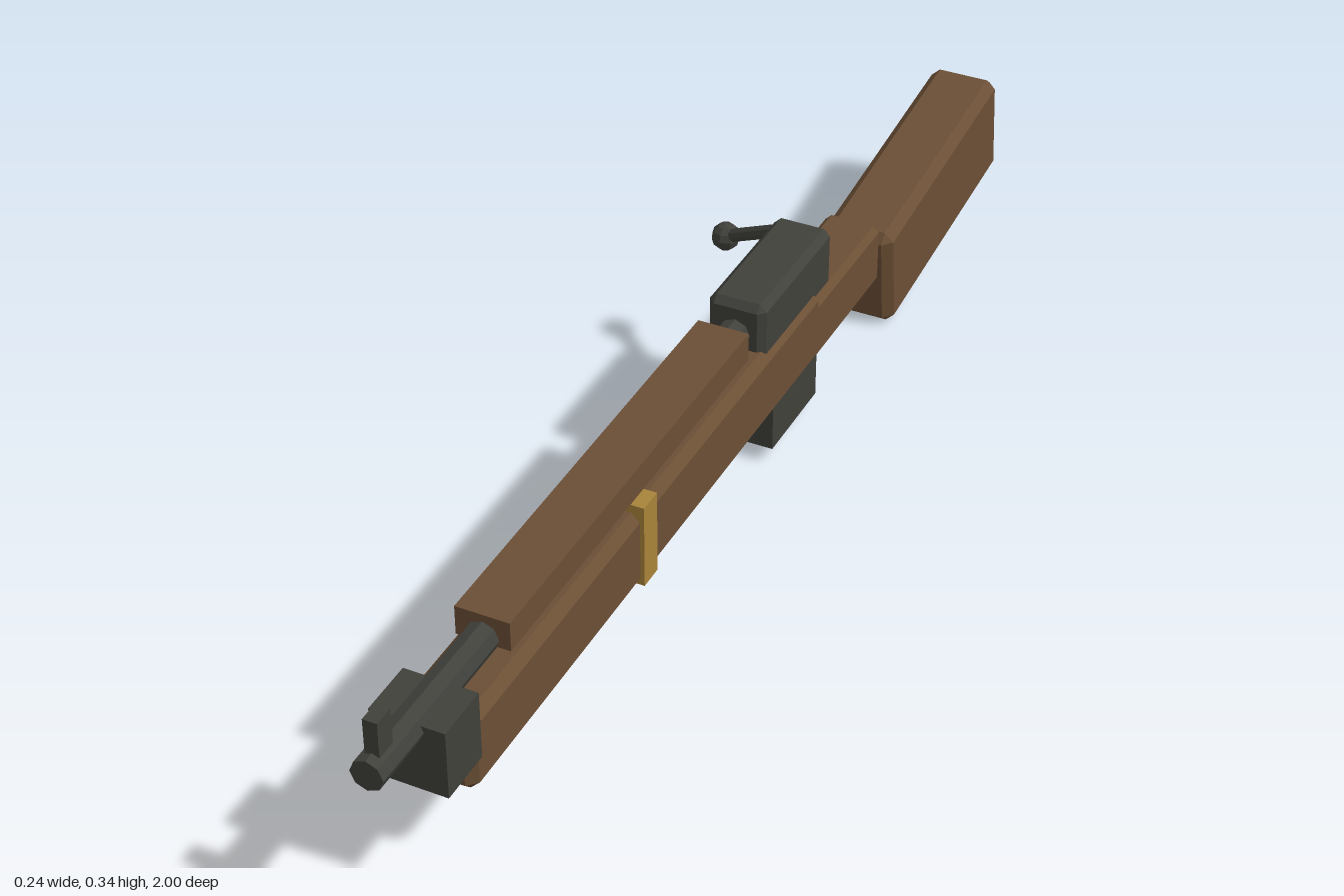
import * as THREE from 'three';
import { ConvexGeometry } from 'three/addons/geometries/ConvexGeometry.js';

const material = (name, color) => {
  const m = new THREE.MeshStandardMaterial({ color, flatShading: true });
  m.name = name;
  return m;
};

// Box with every edge cut flat by c
function chamferBox(w, h, d, c) {
  const half = [w / 2, h / 2, d / 2];
  const points = [];
  for (const sx of [-1, 1]) for (const sy of [-1, 1]) for (const sz of [-1, 1]) {
    for (let axis = 0; axis < 3; axis++) {
      const [x, y, z] = half.map((v, i) => (i === axis ? v : v - c));
      points.push(new THREE.Vector3(sx * x, sy * y, sz * z));
    }
  }
  return new ConvexGeometry(points);
}

export function createModel() {
  const wood = material('brown wood', 0x6b4f35);
  const metal = material('dark metal', 0x40413b);
  const brass = material('brass', 0xa8843a);
  const group = new THREE.Group();
  const cx = 0.055; // centre line of the body

  const add = (name, geometry, mat, x, y, z) => {
    const mesh = new THREE.Mesh(geometry, mat);
    mesh.name = name;
    mesh.position.set(x, y, z);
    group.add(mesh);
    return mesh;
  };
  // Part on the centre line, given by width and its y and z ranges
  const block = (name, mat, w, y0, y1, z0, z1, c = 0) => {
    const size = [w, y1 - y0, z1 - z0];
    const geometry = c ? chamferBox(...size, c) : new THREE.BoxGeometry(...size);
    return add(name, geometry, mat, cx, (y0 + y1) / 2, (z0 + z1) / 2);
  };

  // Wooden furniture
  block('foreStock', wood, 0.108, 0.121, 0.245, -0.248, 0.84, 0.014);
  block('handguard', wood, 0.081, 0.259, 0.305, -0.01, 0.71);
  block('wrist', wood, 0.092, 0.109, 0.214, -0.5, -0.243, 0.01);
  const butt = add('buttStock', chamferBox(0.115, 0.181, 0.473, 0.015), wood, cx, 0.119, -0.755);
  butt.rotation.x = 0.12;

  // Metal parts
  const barrel = add('barrel', new THREE.CylinderGeometry(0.024, 0.024, 1.1, 8), metal, cx, 0.27, 0.45);
  barrel.rotation.x = Math.PI / 2;
  block('frontSight', metal, 0.021, 0.28, 0.345, 0.952, 0.984);
  block('noseCap', metal, 0.109, 0.173, 0.28, 0.818, 0.903);
  block('receiver', metal, 0.092, 0.222, 0.323, -0.3, -0.05, 0.011);
  block('magazine', metal, 0.072, 0.027, 0.2, -0.275, -0.113);

  // Band around the fore stock
  block('band', brass, 0.121, 0.123, 0.258, 0.33, 0.37);

  // Bolt handle with knob
  const start = new THREE.Vector3(0.025, 0.297, -0.3);
  const end = new THREE.Vector3(-0.098, 0.226, -0.344);
  const path = new THREE.LineCurve3(start, end);
  add('boltHandle', new THREE.TubeGeometry(path, 1, 0.011, 8), metal, 0, 0, 0);
  add('boltKnob', new THREE.SphereGeometry(0.023, 8, 6), metal, end.x, end.y, end.z);

  return group;
}
